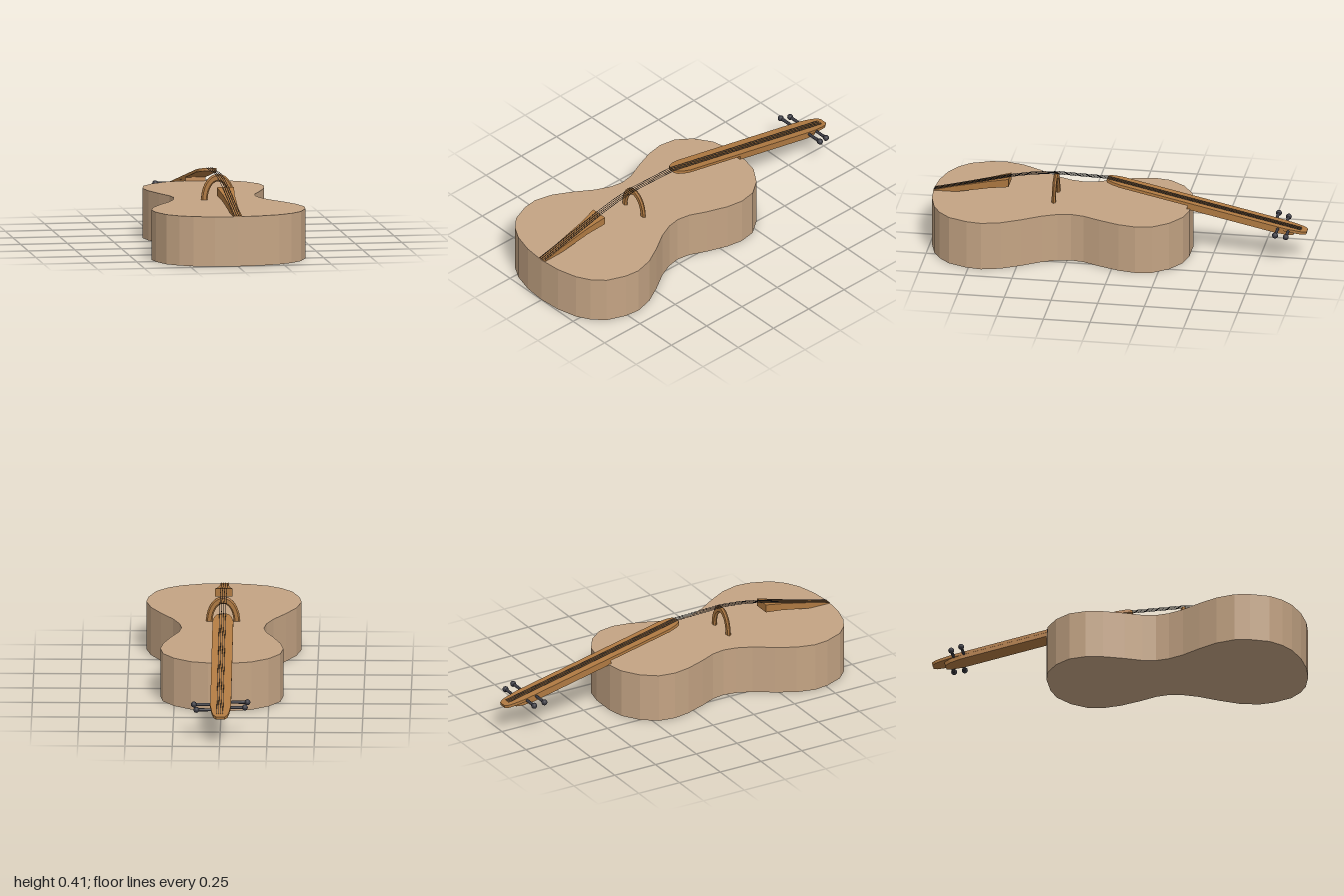
import * as THREE from 'three';

const mat = (name, color) => {
  const m = new THREE.MeshStandardMaterial({ color });
  m.name = name;
  return m;
};

export function createModel() {
  const paleWood = mat('pale wood', 0xc4a484);
  const brownWood = mat('brown wood', 0xb07a42);
  const pegGrey = mat('peg grey', 0x3a3a42);
  const stringBlack = mat('string black', 0x26262a);

  const model = new THREE.Group();
  model.name = 'stringInstrument';
  const add = (name, geo, material, parent = model) => {
    const mesh = new THREE.Mesh(geo, material);
    mesh.name = name;
    parent.add(mesh);
    return mesh;
  };
  // Flat slab seen from above: points are (x, z), thickness upward from y = 0
  const slab = (points, thickness) => {
    const shape = new THREE.Shape(points.map(([x, z]) => new THREE.Vector2(x, -z)));
    return new THREE.ExtrudeGeometry(shape, { depth: thickness, bevelEnabled: false }).rotateX(-Math.PI / 2);
  };
  const mirrored = (half) => [...half, ...half.filter(([x]) => x > 0).reverse().map(([x, z]) => [-x, z])];

  // Body: waisted outline with straight ribs
  const bodyHalf = [
    [0.07, -0.38], [0.16, -0.36], [0.25, -0.3], [0.31, -0.22], [0.325, -0.13], [0.31, -0.04],
    [0.27, 0.07], [0.23, 0.16], [0.218, 0.23], [0.23, 0.3], [0.265, 0.38], [0.33, 0.48],
    [0.385, 0.58], [0.41, 0.68], [0.4, 0.76], [0.36, 0.86], [0.3, 0.92], [0.23, 0.96],
    [0.12, 0.99], [0, 1],
  ];
  add('body', slab(mirrored(bodyHalf), 0.265), paleWood);

  // Neck: sloping fingerboard with rounded ends and a block beneath it
  const neck = new THREE.Group();
  neck.name = 'neck';
  neck.position.set(-0.004, 0.395, 0.07);
  neck.rotation.x = -0.212;
  model.add(neck);
  const boardHalf = [
    [0.022, -1.095], [0.038, -1.075], [0.046, -1.04], [0.055, -0.97],
    [0.055, -0.08], [0.046, -0.035], [0.034, -0.01], [0.018, 0],
  ];
  add('fingerboard', slab(mirrored(boardHalf), 0.016), brownWood, neck).position.y = -0.016;
  const blockHalf = [[0.022, -1.03], [0.042, -1.0], [0.054, -0.94], [0.054, -0.45]];
  add('neckBlock', slab(mirrored(blockHalf), 0.021), brownWood, neck).position.y = -0.037;

  // Bridge: bevelled arch standing across the top
  const bridgeShape = new THREE.Shape();
  const bevel = 0.008;
  bridgeShape.moveTo(0.09 - bevel, 0);
  bridgeShape.absellipse(0, 0, 0.09 - bevel, 0.137 - bevel, 0, Math.PI, false);
  bridgeShape.lineTo(-0.055 - bevel, 0);
  bridgeShape.absellipse(0, 0, 0.055 + bevel, 0.097 + bevel, Math.PI, 0, true);
  const bridge = new THREE.ExtrudeGeometry(bridgeShape, {
    depth: 0.004, bevelThickness: 0.008, bevelSize: bevel, bevelSegments: 1, curveSegments: 14,
  });
  add('bridge', bridge, brownWood).position.set(0, 0.265, 0.343);

  // Tailpiece: wedge flaring and rising toward the bridge
  // Stations: z, half width, bottom, top
  const stations = [
    [0.592, 0.046, 0.322, 0.366], [0.7, 0.031, 0.302, 0.34],
    [0.88, 0.021, 0.264, 0.297], [0.997, 0.023, 0.262, 0.268],
  ];
  const box = new THREE.BoxGeometry(2, 2, 3, 1, 1, 3);
  const p = box.attributes.position;
  for (let i = 0; i < p.count; i++) {
    const [z, w, low, high] = stations[Math.round(p.getZ(i) + 1.5)];
    p.setXYZ(i, p.getX(i) * w, p.getY(i) > 0 ? high : low, z);
  }
  const tailpiece = box.toNonIndexed();
  tailpiece.computeVertexNormals();
  add('tailpiece', tailpiece, brownWood);

  // Thin rod between two points
  const rod = (name, a, b, r0, r1, sides, material, parent) => {
    const dir = b.clone().sub(a);
    const mesh = add(name, new THREE.CylinderGeometry(r1, r0, dir.length(), sides), material, parent);
    mesh.position.copy(a).add(b).multiplyScalar(0.5);
    mesh.quaternion.setFromUnitVectors(new THREE.Vector3(0, 1, 0), dir.normalize());
  };

  // Strings: tail end, tailpiece, bridge, fingerboard, head (z, y)
  const stringPath = [[0.997, 0.269], [0.592, 0.369], [0.47, 0.392], [0.35, 0.404], [0.07, 0.396], [-0.97, 0.1725]];
  const strings = new THREE.Group();
  strings.name = 'strings';
  model.add(strings);
  for (const x of [-0.017, -0.006, 0.005, 0.015]) {
    const pts = stringPath.map(([z, y]) => new THREE.Vector3(x, y, z));
    for (let i = 1; i < pts.length; i++) rod('string', pts[i - 1], pts[i], 0.0015, 0.0015, 5, stringBlack, strings);
  }

  // Tuning pegs: shaft and rounded knob, two on each side (z, knob x)
  for (const [z, x] of [[-0.88, -0.132], [-0.825, -0.145], [-0.905, 0.124], [-0.85, 0.138]]) {
    const peg = new THREE.Group();
    peg.name = 'tuningPeg';
    peg.position.set(0, 0.395 + (z - 0.07) * 0.215 - 0.012, z);
    model.add(peg);
    const tip = new THREE.Vector3(x, 0, 0);
    rod('pegShaft', new THREE.Vector3(Math.sign(x) * 0.03, 0, 0), tip, 0.007, 0.009, 10, pegGrey, peg);
    add('pegKnob', new THREE.SphereGeometry(0.016, 12, 8), pegGrey, peg).position.copy(tip);
  }
  return model;
}
